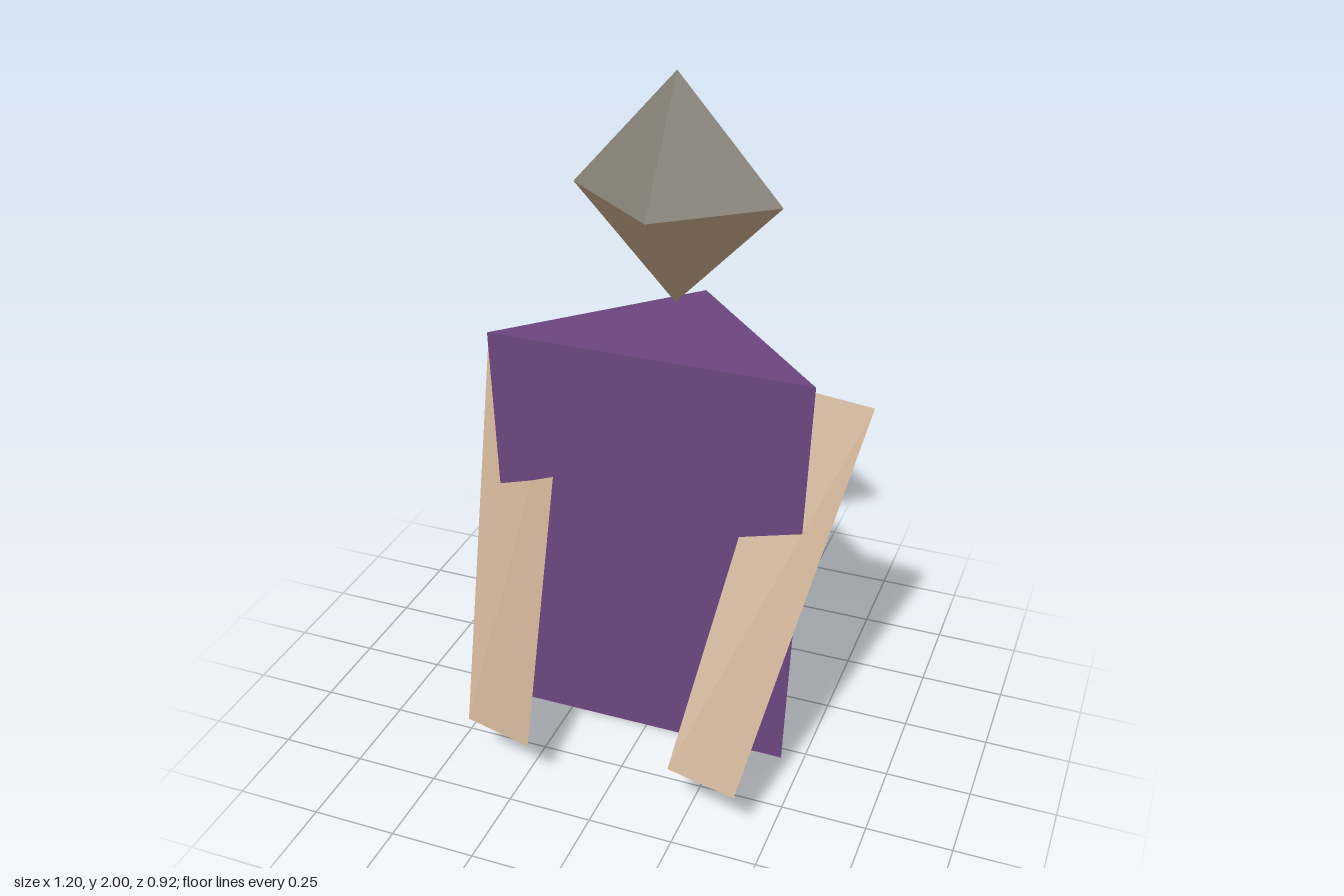
import * as THREE from 'three';

const material = (name, color, side = THREE.FrontSide) => {
  const m = new THREE.MeshStandardMaterial({ color, side });
  m.name = name;
  return m;
};

// Apply a rule to every vertex, then give each face its own flat normal
function reshape(geometry, rule) {
  const geo = geometry.index ? geometry.toNonIndexed() : geometry;
  const pos = geo.attributes.position;
  const v = new THREE.Vector3();
  for (let i = 0; i < pos.count; i++) {
    rule(v.fromBufferAttribute(pos, i));
    pos.setXYZ(i, v.x, v.y, v.z);
  }
  geo.computeVertexNormals();
  return geo;
}

export function createModel() {
  const purple = material('purple robe', 0x6c4680);
  const grey = material('grey hood', 0x857f75);
  const skin = material('tan skin', 0xbda184, THREE.DoubleSide);
  const model = new THREE.Group();
  const add = (name, geometry, mat) => {
    const mesh = new THREE.Mesh(geometry, mat);
    mesh.name = name;
    model.add(mesh);
  };

  // Body: three-sided prism, flat side forward, narrowing to the floor
  const bodyGeo = new THREE.CylinderGeometry(1, 1, 1, 3, 1, false, Math.PI);
  add('body', reshape(bodyGeo, (v) => {
    const halfWidth = v.y > 0 ? 0.48 : 0.435;
    v.set((v.x / 0.866) * halfWidth, (v.y + 0.5) * 1.262, v.z / 3 - 0.125);
  }), purple);

  // Head: stretched octahedron with a tan face on the two lower front sides
  const headGeo = reshape(new THREE.OctahedronGeometry(1), (v) => {
    v.set(v.x * 0.305, 1.655 + v.y * (v.y > 0 ? 0.345 : 0.32), -0.19 + v.z * 0.24);
  });
  const pos = headGeo.attributes.position;
  headGeo.clearGroups();
  for (let i = 0; i < pos.count; i += 3) {
    let y = 0, z = 0;
    for (let k = i; k < i + 3; k++) {
      y += pos.getY(k) / 3;
      z += pos.getZ(k) / 3;
    }
    headGeo.addGroup(i, 3, y < 1.655 && z > -0.19 ? 1 : 0);
  }
  add('head', headGeo, [grey, skin]);

  // Arms: thin tapered panels reaching down and forward, both turned the same way
  for (const side of [-1, 1]) {
    const armGeo = reshape(new THREE.PlaneGeometry(1, 1), (v) => {
      const top = v.y > 0;
      const outer = v.x * side > 0;
      const x = top ? (outer ? 0.6 : 0.33) : (outer ? 0.418 : 0.205);
      const z = (top ? -0.175 : 0.435) + v.x * 0.05;
      v.set(side * x, top ? 1.128 : 0.18, z);
    });
    add(side > 0 ? 'leftArm' : 'rightArm', armGeo, skin);
  }

  return model;
}
